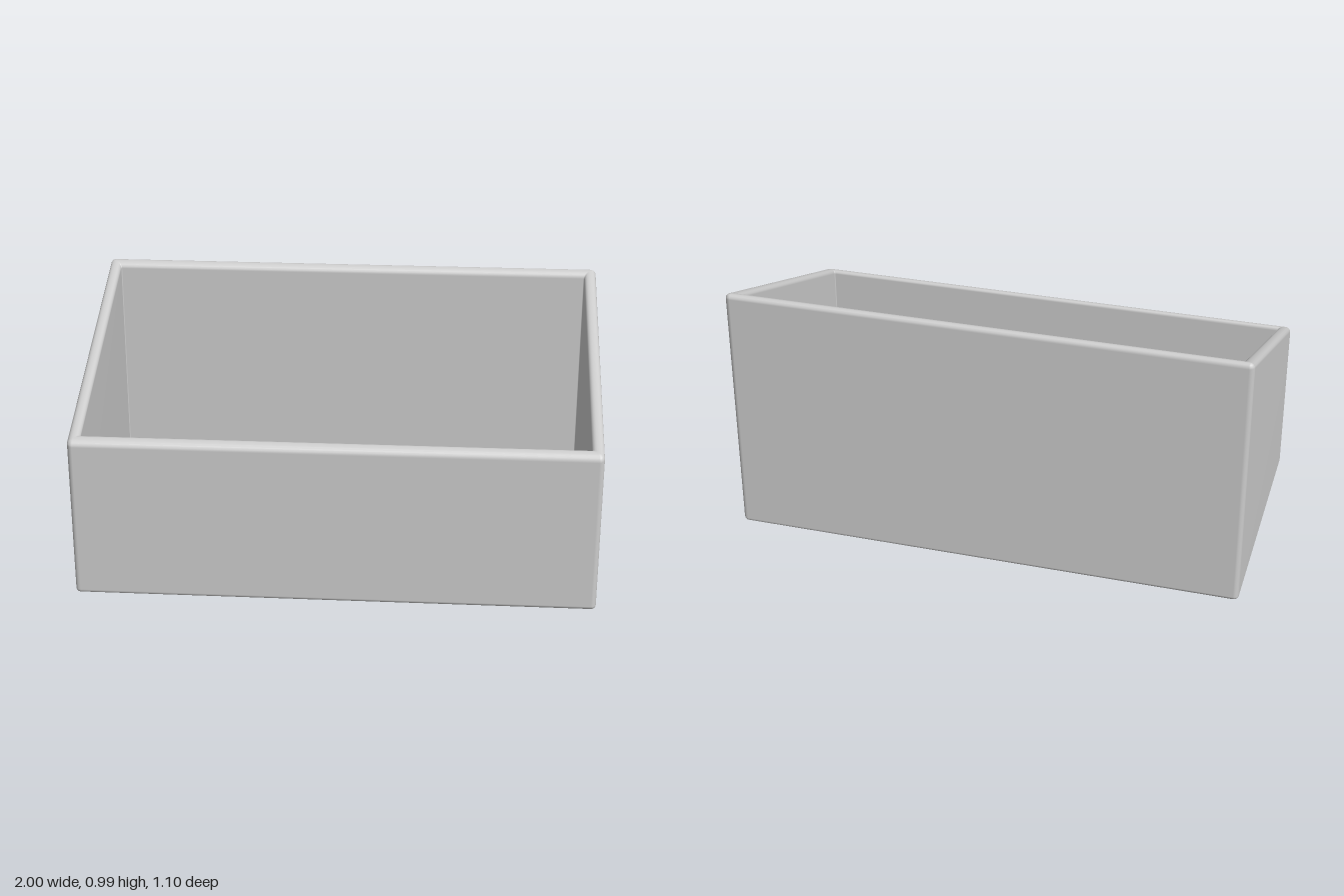
import * as THREE from 'three';

const W = 1.957, D = 1.015, WALL = 0.046, STEPS = 4;

// Sloping rim height, level along the back wall
const rimHeight = (z) => Math.min(0.993, 0.811 - 0.37 * z);

// Tray floor, falling gently towards the front
const floorHeight = (z) => 0.128 - 0.167 * z;

// Rounded rectangle in plan, counter-clockwise from above
function ring(inset, radius) {
  const hx = W / 2 - inset - radius, hz = D / 2 - inset - radius;
  const pts = [];
  [[1, -1], [-1, -1], [-1, 1], [1, 1]].forEach(([sx, sz], c) => {
    for (let k = 0; k <= STEPS; k++) {
      const a = (c + k / STEPS) * Math.PI / 2;
      pts.push([sx * hx + radius * Math.cos(a), sz * hz - radius * Math.sin(a)]);
    }
  });
  return pts;
}

// Wall profile from the underside, up and over the rim, down to the tray floor
function buildProfile() {
  const rows = [];
  const add = (inset, radius, height) => rows.push({ inset, radius, height });
  const arc = (fn) => { for (let k = 0; k <= STEPS; k++) fn(k / STEPS * Math.PI / 2); };
  const foot = 0.015, outer = 0.02, inner = 0.018, corner = 0.02;
  arc((a) => { // rounded bottom edge
    const i = foot * (1 - Math.sin(a));
    add(i, corner - i, () => foot * (1 - Math.cos(a)));
  });
  arc((a) => { // outer rim edge
    const i = outer * (1 - Math.cos(a));
    add(i, Math.max(0.004, corner - i), (z) => rimHeight(z) - outer * (1 - Math.sin(a)));
  });
  arc((a) => { // inner rim edge
    add(WALL - inner * (1 - Math.sin(a)), 0.004, (z) => rimHeight(z) - inner * (1 - Math.cos(a)));
  });
  add(WALL, 0.004, floorHeight);
  return rows;
}

function boxGeometry() {
  const rows = buildProfile(), n = 4 * (STEPS + 1);
  const pos = [], index = [];
  const addRing = (r) => ring(r.inset, r.radius).forEach(([x, z]) => pos.push(x, r.height(z), z));
  rows.forEach(addRing);
  for (let j = 0; j < rows.length - 1; j++)
    for (let i = 0; i < n; i++) {
      const a = j * n + i, b = j * n + (i + 1) % n;
      index.push(a, b, b + n, a, b + n, a + n);
    }
  // Underside and tray floor; the floor has its own ring to keep its edge sharp
  const floor = rows.length * n, centre = floor + n;
  addRing(rows[rows.length - 1]);
  pos.push(0, 0, 0, 0, floorHeight(0), 0);
  for (let i = 0; i < n; i++) {
    const k = (i + 1) % n;
    index.push(centre, k, i, centre + 1, floor + i, floor + k);
  }
  const g = new THREE.BufferGeometry();
  g.setAttribute('position', new THREE.Float32BufferAttribute(pos, 3));
  g.setIndex(index);
  g.computeVertexNormals(); // area weighting keeps the large faces flat
  return g;
}

export function createModel() {
  const group = new THREE.Group();
  group.name = 'slopedBin';
  const bin = new THREE.Mesh(boxGeometry(), new THREE.MeshStandardMaterial({ color: 0xcccccc }));
  bin.name = 'openBox';
  bin.rotation.y = 0.0436; // sits slightly turned
  group.add(bin);
  return group;
}
